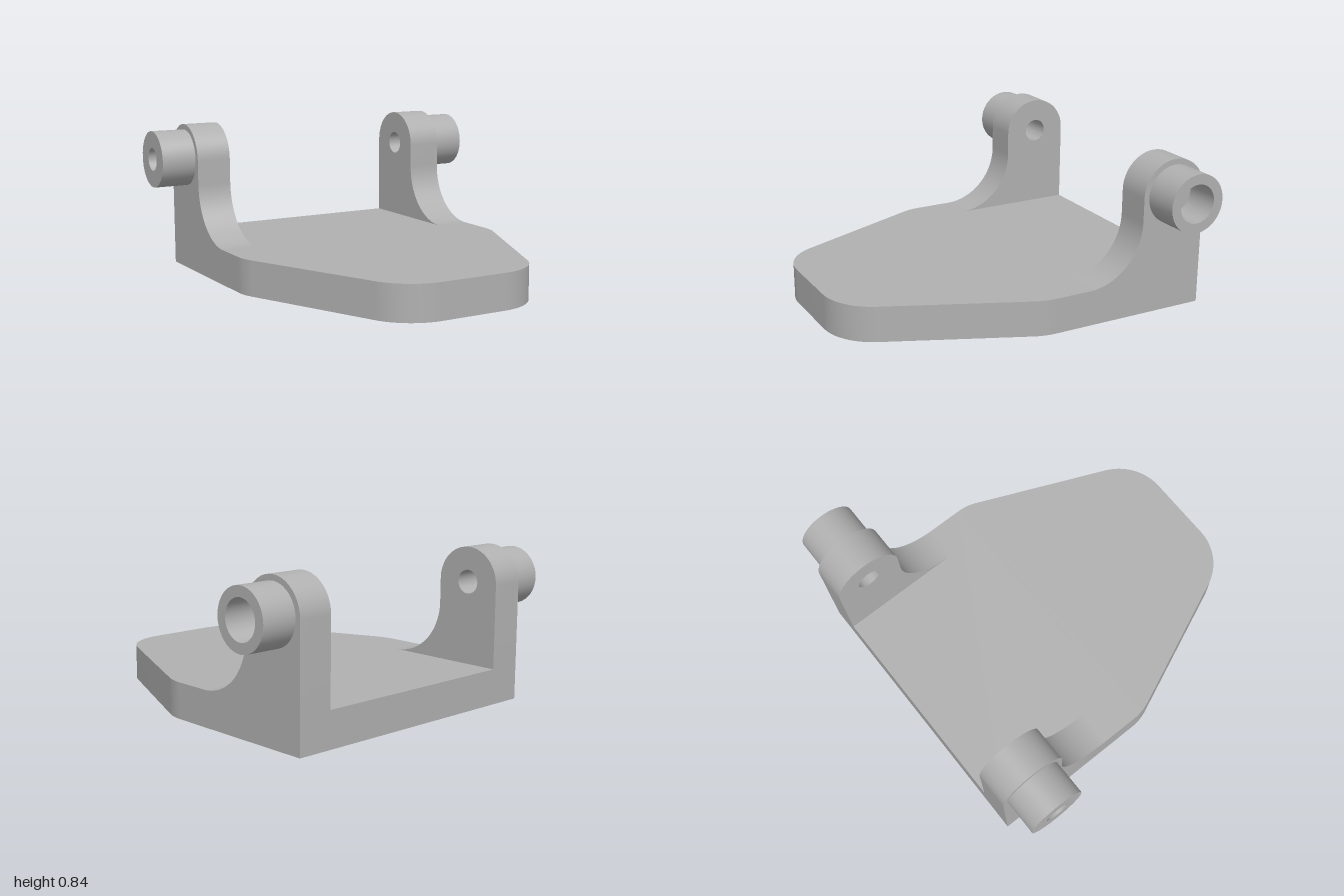
import * as THREE from 'three';
import { toCreasedNormals } from 'three/addons/utils/BufferGeometryUtils.js';

const BASE_W = 0.805, BACK = 0.965, BASE_H = 0.195;
const LUG_IN = 0.61, PIVOT_Y = 0.648, PIVOT_Z = -0.775, LUG_R = 0.19;
const BOSS_R = 0.16, BORE_R = 0.065, COUNTERBORE_R = 0.105, FILLET = 0.32;

function extrude(shape, depth, curveSegments = 20) {
  return new THREE.ExtrudeGeometry(shape, { depth, curveSegments, bevelEnabled: false });
}

function addHole(shape, r) {
  shape.holes.push(new THREE.Path().absarc(-PIVOT_Z, PIVOT_Y, r, 0, Math.PI * 2, true));
}

// Side profiles are drawn with shape x = -z, then turned to run along x
function sideExtrude(shape, x0, x1) {
  return extrude(shape, x1 - x0).rotateY(Math.PI / 2).translate(x0, 0, 0);
}

// Plate outline: square back, tapered front with rounded corners
function plateGeometry() {
  const taper = 0.407, s = new THREE.Shape();
  s.moveTo(-BASE_W, -BACK);
  s.lineTo(BASE_W, -BACK);
  s.absarc(BASE_W - 0.3, -0.065, 0.3, 0, taper);
  s.absarc(0.19, BACK - 0.3, 0.3, taper, Math.PI / 2);
  s.absarc(-0.19, BACK - 0.3, 0.3, Math.PI / 2, Math.PI - taper);
  s.absarc(0.3 - BASE_W, -0.065, 0.3, Math.PI - taper, Math.PI);
  s.closePath();
  return extrude(s, BASE_H, 12).rotateX(Math.PI / 2).translate(0, BASE_H, 0);
}

// Upright ear with a round top and a concave sweep down to the plate
function lugShape() {
  const s = new THREE.Shape(), front = -PIVOT_Z - LUG_R;
  s.moveTo(BACK, BASE_H);
  s.lineTo(BACK, PIVOT_Y);
  s.absarc(-PIVOT_Z, PIVOT_Y, LUG_R, 0, Math.PI, false);
  s.absarc(front - FILLET, BASE_H + FILLET, FILLET, 0, -Math.PI / 2, true);
  s.closePath();
  addHole(s, BORE_R);
  return s;
}

function bossShape(bore) {
  const s = new THREE.Shape();
  s.absarc(-PIVOT_Z, PIVOT_Y, BOSS_R, 0, Math.PI * 2, false);
  addHole(s, bore);
  return s;
}

export function createModel() {
  const group = new THREE.Group();
  group.name = 'hingeBracket';
  const grey = new THREE.MeshStandardMaterial({ color: 0xb0b0b0 });
  grey.name = 'grey';

  const add = (name, geometry) => {
    const mesh = new THREE.Mesh(toCreasedNormals(geometry, 0.5), grey);
    mesh.name = name;
    group.add(mesh);
  };

  add('basePlate', plateGeometry());
  add('leftLug', sideExtrude(lugShape(), LUG_IN, BASE_W));
  add('rightLug', sideExtrude(lugShape(), -BASE_W, -LUG_IN));
  // The left boss has a wide counterbore, the right one a plain bore
  add('leftBoss', sideExtrude(bossShape(COUNTERBORE_R), BASE_W, 1));
  add('rightBoss', sideExtrude(bossShape(BORE_R), -1, -BASE_W));
  return group;
}
